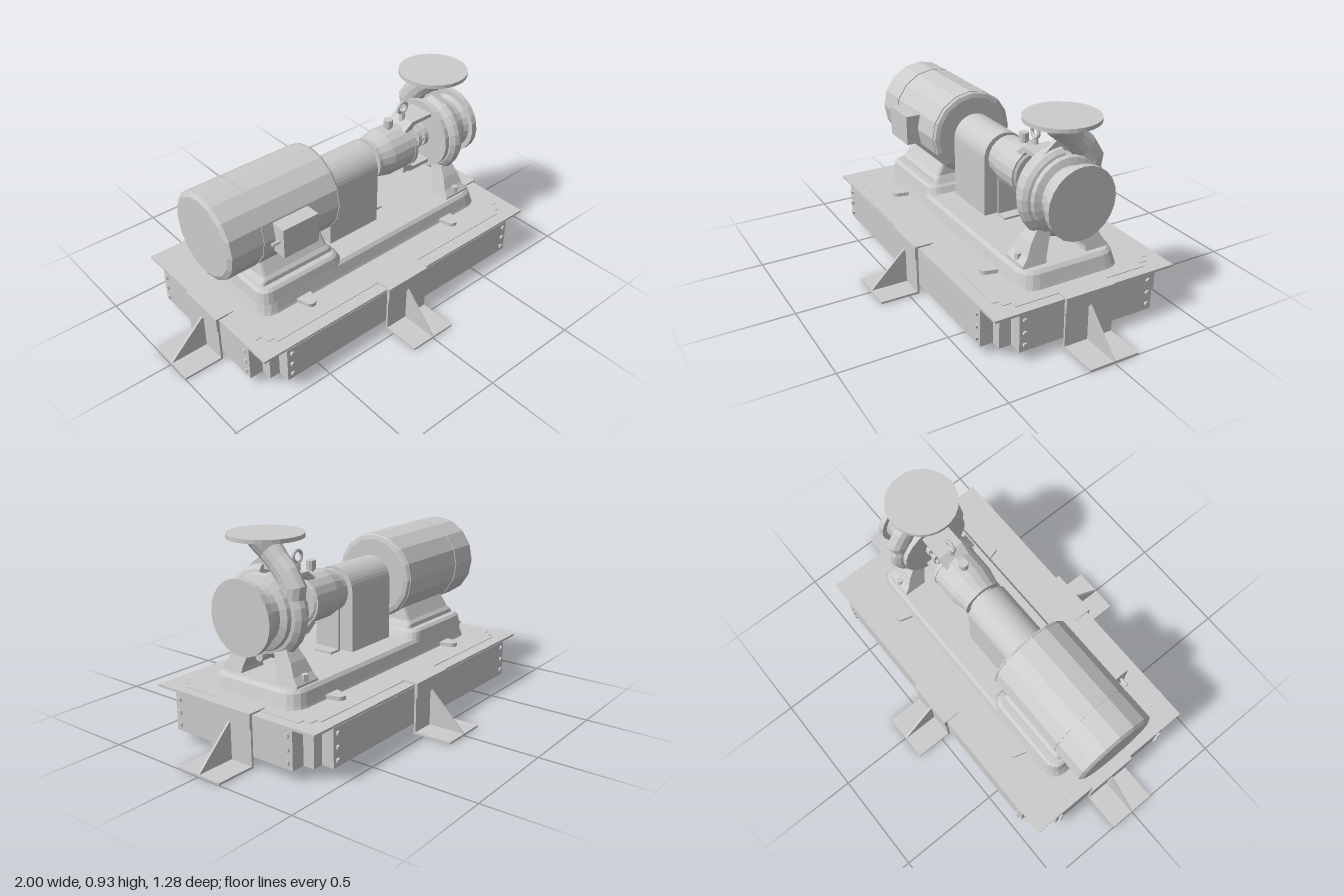
import * as THREE from 'three';

const mat = new THREE.MeshStandardMaterial({ color: 0xcccccc, flatShading: true, side: THREE.DoubleSide });
const AXIS = 0.603; // shaft height

function add(parent, name, geo, x = 0, y = 0, z = 0) {
  const m = new THREE.Mesh(geo, mat);
  m.name = name;
  m.position.set(x, y, z);
  parent.add(m);
  return m;
}

// box given by its limits
function box(parent, name, x0, x1, y0, y1, z0, z1) {
  return add(parent, name, new THREE.BoxGeometry(x1 - x0, y1 - y0, z1 - z0), (x0 + x1) / 2, (y0 + y1) / 2, (z0 + z1) / 2);
}

// turned part on the shaft line, profile of [x, radius]
function turned(parent, name, profile, sides = 20) {
  const geo = new THREE.LatheGeometry(profile.map(([x, r]) => new THREE.Vector2(r, x)), sides);
  geo.rotateZ(-Math.PI / 2);
  return add(parent, name, geo, 0, AXIS, 0);
}

function shapeOf(points) {
  return new THREE.Shape(points.map(([x, y]) => new THREE.Vector2(x, y)));
}

// skin over a list of rings, closed at both ends
function loft(rings) {
  const n = rings[0].length, pos = [], idx = [];
  rings.forEach(r => r.forEach(p => pos.push(p.x, p.y, p.z)));
  for (let i = 0; i < rings.length - 1; i++) for (let j = 0; j < n; j++) {
    const a = i * n + j, b = i * n + (j + 1) % n;
    idx.push(a, b, b + n, a, b + n, a + n);
  }
  [0, rings.length - 1].forEach(i => {
    const c = rings[i].reduce((s, p) => s.add(p), new THREE.Vector3()).divideScalar(n);
    const k = pos.length / 3;
    pos.push(c.x, c.y, c.z);
    for (let j = 0; j < n; j++) {
      const a = i * n + j, b = i * n + (j + 1) % n;
      if (i === 0) idx.push(k, b, a); else idx.push(k, a, b);
    }
  });
  const geo = new THREE.BufferGeometry();
  geo.setAttribute('position', new THREE.Float32BufferAttribute(pos, 3));
  geo.setIndex(idx);
  geo.computeVertexNormals();
  return geo;
}

// level rounded rectangle
function roundedRing(y, x0, x1, hz, r) {
  const ring = [], cx = (x0 + x1) / 2, hx = (x1 - x0) / 2;
  for (let q = 0; q < 4; q++) for (let s = 0; s <= 4; s++) {
    const t = (q + s / 4) * Math.PI / 2;
    const sx = q < 2 ? 1 : -1, sz = q === 0 || q === 3 ? 1 : -1;
    ring.push(new THREE.Vector3(cx + sx * (hx - r) + r * Math.sin(t), y, sz * (hz - r) + r * Math.cos(t)));
  }
  return ring;
}

// rectangle with two steps cut from each corner
function steppedPlate(xs, zs, y0, y1) {
  const q = [[xs[0], zs[2]], [xs[1], zs[2]], [xs[1], zs[1]], [xs[2], zs[1]], [xs[2], zs[0]]];
  const flip = (sx, sy) => q.map(([x, y]) => [x * sx, y * sy]);
  const pts = [...flip(1, 1), ...flip(-1, 1).reverse(), ...flip(-1, -1), ...flip(1, -1).reverse()];
  const geo = new THREE.ExtrudeGeometry(shapeOf(pts), { depth: y1 - y0, bevelEnabled: false });
  return geo.rotateX(-Math.PI / 2).translate(0, y0, 0);
}

// anchor bracket reaching outward along +x, with its wall at x = d
function bracket(d, reach) {
  const g = new THREE.Group();
  g.name = 'anchorBracket';
  box(g, 'bracketCap', d - 0.075, d + 0.015, 0.232, 0.243, -0.12, 0.12);
  box(g, 'bracketLip', d, d + 0.015, 0.175, 0.235, -0.12, 0.12);
  box(g, 'bracketWall', d, d + 0.01, 0, 0.18, -0.12, 0.12);
  box(g, 'bracketFoot', d, reach, 0, 0.01, -0.12, 0.12);
  const tri = shapeOf([[d + 0.01, 0.008], [reach, 0.008], [d + 0.01, 0.185]]);
  add(g, 'bracketGusset', new THREE.ExtrudeGeometry(tri, { depth: 0.01, bevelEnabled: false }), 0, 0, -0.005);
  return g;
}

function buildBase(g) {
  add(g, 'baseBlock', steppedPlate([0.805, 0.74, 0.69], [0.45, 0.39, 0.335], 0.05, 0.225));
  box(g, 'baseRim', -0.805, 0.805, 0.224, 0.235, -0.448, 0.448);
  add(g, 'deckPanel', steppedPlate([0.757, 0.725, 0.69], [0.39, 0.365, 0.325], 0.23, 0.238));

  // bolts near every corner
  for (const sx of [-1, 1]) for (const sz of [-1, 1]) for (const y of [0.08, 0.137, 0.197]) {
    const bolt = new THREE.CylinderGeometry(0.011, 0.011, 0.02, 6);
    add(g, 'baseBolt', bolt, sx * 0.665, y, sz * 0.45).rotation.x = Math.PI / 2;
    add(g, 'baseBolt', bolt, sx * 0.805, y, sz * 0.31).rotation.z = Math.PI / 2;
  }
  for (let i = 0; i < 4; i++) {
    const b = i % 2 ? bracket(0.45, 0.64) : bracket(0.805, 1);
    b.rotation.y = i * Math.PI / 2;
    g.add(b);
  }

  // cast bedplate with a raised motor end
  add(g, 'bedplate', loft([
    roundedRing(0.235, -0.67, 0.7, 0.255, 0.08), roundedRing(0.25, -0.665, 0.695, 0.25, 0.08),
    roundedRing(0.3, -0.65, 0.68, 0.238, 0.075), roundedRing(0.315, -0.64, 0.665, 0.225, 0.065)]));
  add(g, 'motorPlinth', loft([
    roundedRing(0.29, -0.653, -0.17, 0.24, 0.06), roundedRing(0.345, -0.645, -0.2, 0.228, 0.055),
    roundedRing(0.357, -0.63, -0.215, 0.215, 0.045)]));
  for (const x of [-0.44, 0.455]) for (const s of [-1, 1]) {
    const lug = new THREE.Shape();
    lug.moveTo(-0.045, 0.23);
    lug.lineTo(0.045, 0.23);
    lug.lineTo(0.027, 0.295);
    lug.absarc(0, 0.295, 0.027, 0, Math.PI);
    const geo = new THREE.ExtrudeGeometry(lug, { depth: 0.03, bevelEnabled: false, curveSegments: 6 });
    add(g, 'bedplateLug', geo.rotateX(Math.PI / 2), x, 0.256, 0).rotation.y = s < 0 ? Math.PI : 0;
  }
}

function buildMotor(g) {
  turned(g, 'motorBody', [[-0.775, 0], [-0.775, 0.185], [-0.763, 0.207], [-0.61, 0.207], [-0.61, 0.203], [-0.602, 0.203],
    [-0.602, 0.207], [-0.2, 0.207], [-0.2, 0.203], [-0.194, 0.203], [-0.194, 0.207], [-0.183, 0.2], [-0.178, 0.18], [-0.178, 0]], 16);
  add(g, 'motorFoot', loft([roundedRing(0.35, -0.625, -0.21, 0.19, 0.02), roundedRing(0.375, -0.61, -0.225, 0.185, 0.02),
    roundedRing(0.39, -0.6, -0.235, 0.17, 0.02), roundedRing(0.46, -0.59, -0.245, 0.13, 0.02)]));
  box(g, 'terminalBox', -0.545, -0.36, 0.53, 0.675, 0.17, 0.265);
  add(g, 'cableGland', new THREE.CylinderGeometry(0.008, 0.008, 0.05, 8), -0.56, AXIS, 0.235).rotation.z = Math.PI / 2;
  turned(g, 'shaft', [[-0.18, 0], [-0.18, 0.035], [0.16, 0.035], [0.16, 0.02], [0.55, 0.02], [0.55, 0]], 14);

  // arched coupling guard
  const arch = new THREE.Shape();
  arch.moveTo(-0.107, 0.312);
  arch.lineTo(0.107, 0.312);
  arch.lineTo(0.107, 0.6);
  arch.absarc(0, 0.6, 0.107, 0, Math.PI);
  const geo = new THREE.ExtrudeGeometry(arch, { depth: 0.29, bevelEnabled: false, curveSegments: 10 });
  add(g, 'couplingGuard', geo.rotateY(Math.PI / 2), -0.165, 0, 0);
}

function buildPump(g) {
  turned(g, 'bearingHousing', [[0.13, 0], [0.13, 0.075], [0.148, 0.075], [0.148, 0.1], [0.17, 0.1], [0.235, 0.115],
    [0.375, 0.115], [0.385, 0.1], [0.385, 0]]);
  box(g, 'bearingStand', 0.143, 0.155, 0.315, 0.56, -0.05, 0.05);
  box(g, 'bearingStandFoot', 0.143, 0.21, 0.312, 0.325, -0.05, 0.05);
  turned(g, 'oilCapBase', [[0.36, 0], [0.36, 0.118], [0.378, 0.118], [0.378, 0]]);
  add(g, 'oilCap', new THREE.CylinderGeometry(0.022, 0.022, 0.04, 10), 0.285, 0.745, 0);
  add(g, 'oilCapNeck', new THREE.CylinderGeometry(0.015, 0.015, 0.03, 10), 0.285, 0.718, 0);
  add(g, 'eyeboltStem', new THREE.CylinderGeometry(0.012, 0.018, 0.06, 8), 0.375, 0.74, 0);
  add(g, 'eyeboltRing', new THREE.TorusGeometry(0.027, 0.008, 8, 16), 0.375, 0.797, 0);

  // lantern arms above and below the open seal chamber
  for (const s of [1, -1]) {
    const arm = shapeOf([[0.33, 0.1], [0.38, 0.138], [0.52, 0.138], [0.52, 0.12], [0.4, 0.118], [0.37, 0.09]].map(([x, y]) => [x, y * s]));
    add(g, 'lanternArm', new THREE.ExtrudeGeometry(arm, { depth: 0.13, bevelEnabled: false }), 0, AXIS, -0.065);
    add(g, 'glandStud', new THREE.CylinderGeometry(0.008, 0.008, 0.1, 6), 0.47, AXIS, s * 0.048).rotation.z = Math.PI / 2;
  }
  turned(g, 'sealGland', [[0.44, 0], [0.44, 0.062], [0.46, 0.062], [0.46, 0.04], [0.482, 0.04], [0.482, 0.06], [0.51, 0.06], [0.51, 0]], 14);
  turned(g, 'casing', [[0.507, 0], [0.507, 0.175], [0.53, 0.175], [0.535, 0.16], [0.605, 0.16], [0.61, 0.17], [0.628, 0.165],
    [0.64, 0.135], [0.68, 0.13], [0.705, 0.14], [0.705, 0.165], [0.735, 0.165], [0.735, 0]], 24);

  // spiral casing sweeping into the discharge neck: [y, z, in-plane radius, x radius]
  const path = [];
  for (let i = 0; i <= 20; i++) {
    const a = i / 20 * Math.PI * 1.65;
    path.push([AXIS + 0.157 * Math.cos(a), 0.157 * Math.sin(a), 0.045 + i * 0.0008, 0.042]);
  }
  path.push([0.72, -0.15, 0.062, 0.043], [0.775, -0.115, 0.06, 0.042], [0.82, -0.07, 0.055, 0.042], [0.86, -0.028, 0.06, 0.046],
    [0.895, 0, 0.075, 0.064], [0.918, 0, 0.095, 0.095]);
  const last = path.length - 1;
  add(g, 'volute', loft(path.map(([y, z, rn, rx], i) => {
    const p = path[Math.max(i - 1, 0)], q = path[Math.min(i + 1, last)];
    const t = i === last ? new THREE.Vector2(1, 0) : new THREE.Vector2(q[0] - p[0], q[1] - p[1]).normalize();
    return Array.from({ length: 12 }, (_, j) => {
      const c = Math.cos(j * Math.PI / 6) * rn, s = Math.sin(j * Math.PI / 6) * rx;
      return new THREE.Vector3(0.57 - s, y + t.y * c, z - t.x * c);
    });
  })));
  add(g, 'dischargeFlange', new THREE.CylinderGeometry(0.165, 0.165, 0.018, 28), 0.57, 0.924, 0);
  const web = shapeOf([[-0.09, 0.78], [0.0, 0.87], [0.05, 0.87], [0.03, 0.83], [0.09, 0.78]].map(([z, y]) => [-z, y]));
  add(g, 'neckWeb', new THREE.ExtrudeGeometry(web, { depth: 0.02, bevelEnabled: false }).rotateY(Math.PI / 2), 0.56, 0, 0);
  add(g, 'drainPlug', new THREE.CylinderGeometry(0.022, 0.022, 0.05, 12), 0.605, 0.41, 0).rotation.z = Math.PI / 2;

  // splayed legs, widening towards the bedplate
  for (const s of [1, -1]) {
    const leg = shapeOf([[0.06, 0.46], [0.13, 0.46], [0.165, 0.41], [0.19, 0.355], [0.215, 0.325], [0.215, 0.312], [0.1, 0.312],
      [0.1, 0.335], [0.085, 0.38]].map(([z, y]) => [z * s, y]));
    const geo = new THREE.ExtrudeGeometry(leg, { depth: 1, bevelEnabled: false }).translate(0, 0, -0.5).rotateY(-Math.PI / 2);
    const p = geo.attributes.position;
    for (let i = 0; i < p.count; i++) p.setX(i, p.getX(i) * THREE.MathUtils.mapLinear(p.getY(i), 0.312, 0.46, 0.14, 0.07));
    add(g, 'pumpLeg', geo, 0.568, 0, 0);
    add(g, 'pumpLegBolt', new THREE.CylinderGeometry(0.016, 0.016, 0.03, 6), 0.568, 0.345, s * 0.2);
  }
}

export function createModel() {
  const model = new THREE.Group();
  model.name = 'pumpSet';
  for (const [name, build] of [['base', buildBase], ['motorDrive', buildMotor], ['pump', buildPump]]) {
    const g = new THREE.Group();
    g.name = name;
    build(g);
    model.add(g);
  }
  return model;
}
